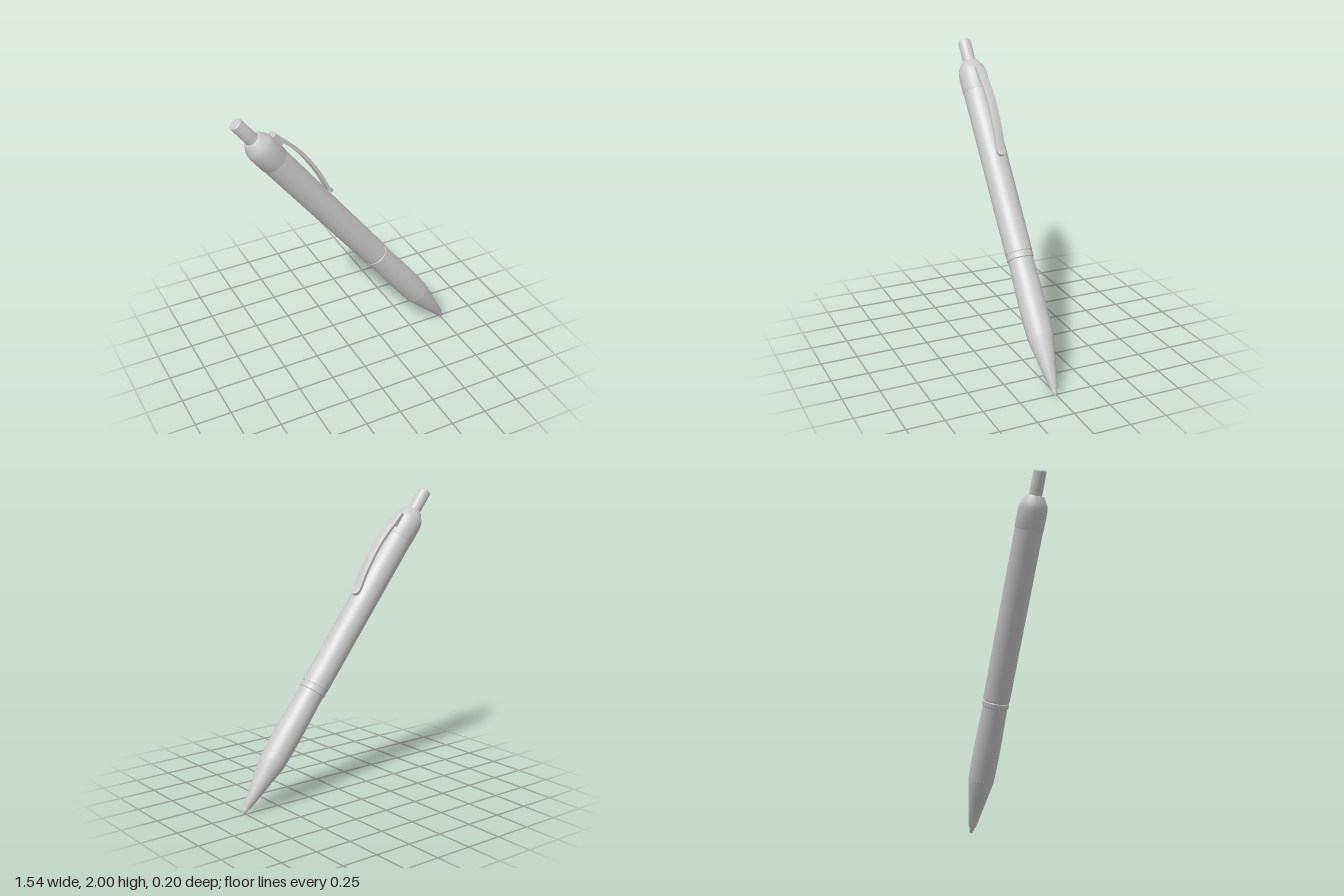
import * as THREE from 'three';
import { toCreasedNormals } from 'three/addons/utils/BufferGeometryUtils.js';

const material = new THREE.MeshStandardMaterial({ color: 0xcccccc });

// Turned part: profile of [radius, distance from the tip]
function turned(name, profile) {
  const points = profile.map(([r, s]) => new THREE.Vector2(r, s));
  const mesh = new THREE.Mesh(toCreasedNormals(new THREE.LatheGeometry(points, 48), 0.35), material);
  mesh.name = name;
  return mesh;
}

// Bowed strip with a rounded lower end, following a side-on curve
function clipStrip() {
  const thickness = 0.02, halfWidth = 0.031;
  const curve = new THREE.CatmullRomCurve3([
    [0.112, 2.235], [0.123, 2.16], [0.14, 2.06], [0.148, 1.94], [0.134, 1.77],
    [0.112, 1.66], [0.107, 1.63], [0.111, 1.59],
  ].map(([x, y]) => new THREE.Vector3(x, y, 0)));
  const length = curve.getLength();
  const geometry = new THREE.BoxGeometry(thickness, 1, 2, 2, 60, 8);
  const pos = geometry.attributes.position;
  for (let i = 0; i < pos.count; i++) {
    // rows bunch up towards the rounded end
    const v = 0.5 - pos.getY(i);
    const t = 1 - (1 - v) ** 2;
    const p = curve.getPointAt(t), d = curve.getTangentAt(t);
    const toEnd = Math.min(1, (1 - t) * length / halfWidth);
    const width = halfWidth * Math.max(0.15, Math.sqrt(1 - (1 - toEnd) ** 2));
    const z = pos.getZ(i);
    const off = pos.getX(i) - 0.004 * z * z; // slightly crowned face
    pos.setXYZ(i, p.x - d.y * off, p.y + d.x * off, z * width);
  }
  geometry.computeVertexNormals();
  const mesh = new THREE.Mesh(geometry, material);
  mesh.name = 'clipStrip';
  return mesh;
}

export function createModel() {
  const pen = new THREE.Group();
  pen.name = 'pen';

  pen.add(turned('writingTip', [
    [0, 0], [0.006, 0.001], [0.01, 0.007], [0.017, 0.03], [0.019, 0.06], [0, 0.06],
  ]));
  pen.add(turned('noseCone', [
    [0, 0.045], [0.023, 0.045], [0.026, 0.052], [0.057, 0.22], [0.086, 0.378], [0.087, 0.395], [0, 0.395],
  ]));
  pen.add(turned('grip', [
    [0, 0.39], [0.086, 0.39], [0.089, 0.48], [0.0895, 0.58], [0.088, 0.7],
    [0.085, 0.81], [0.083, 0.91], [0, 0.91],
  ]));
  pen.add(turned('ring', [
    [0, 0.9], [0.084, 0.9], [0.089, 0.906], [0.089, 0.936], [0.085, 0.94], [0.085, 0.947], [0, 0.947],
  ]));
  pen.add(turned('barrel', [
    [0, 0.945], [0.088, 0.945], [0.09, 0.95], [0.093, 2.12], [0, 2.12],
  ]));
  pen.add(turned('cap', [
    [0, 2.1], [0.094, 2.1], [0.096, 2.106], [0.096, 2.22], [0.094, 2.245], [0.088, 2.268],
    [0.06, 2.316], [0.055, 2.322], [0.046, 2.322], [0.046, 2.3], [0, 2.3],
  ]));
  pen.add(turned('pushButton', [
    [0, 2.28], [0.043, 2.28], [0.043, 2.472], [0.041, 2.48], [0.035, 2.486], [0, 2.488],
  ]));

  // Clip with the block that joins it to the cap
  const clip = new THREE.Group();
  clip.name = 'clip';
  const block = new THREE.Mesh(new THREE.BoxGeometry(0.045, 0.09, 0.052), material);
  block.name = 'clipMount';
  block.position.set(0.097, 2.185, 0);
  clip.add(clipStrip(), block);
  clip.rotation.y = 0.14;
  pen.add(clip);

  // Lean the pen from its tip, clip on the upper side
  const axis = new THREE.Vector3(-1.505, 1.97, -0.018).normalize();
  const front = new THREE.Vector3(0, 0, 1);
  const side = new THREE.Vector3().crossVectors(axis, front).normalize();
  front.crossVectors(side, axis);
  pen.quaternion.setFromRotationMatrix(new THREE.Matrix4().makeBasis(side, axis, front));
  pen.position.set(0.765, 0.004, 0.01);

  const model = new THREE.Group();
  model.add(pen);
  return model;
}
